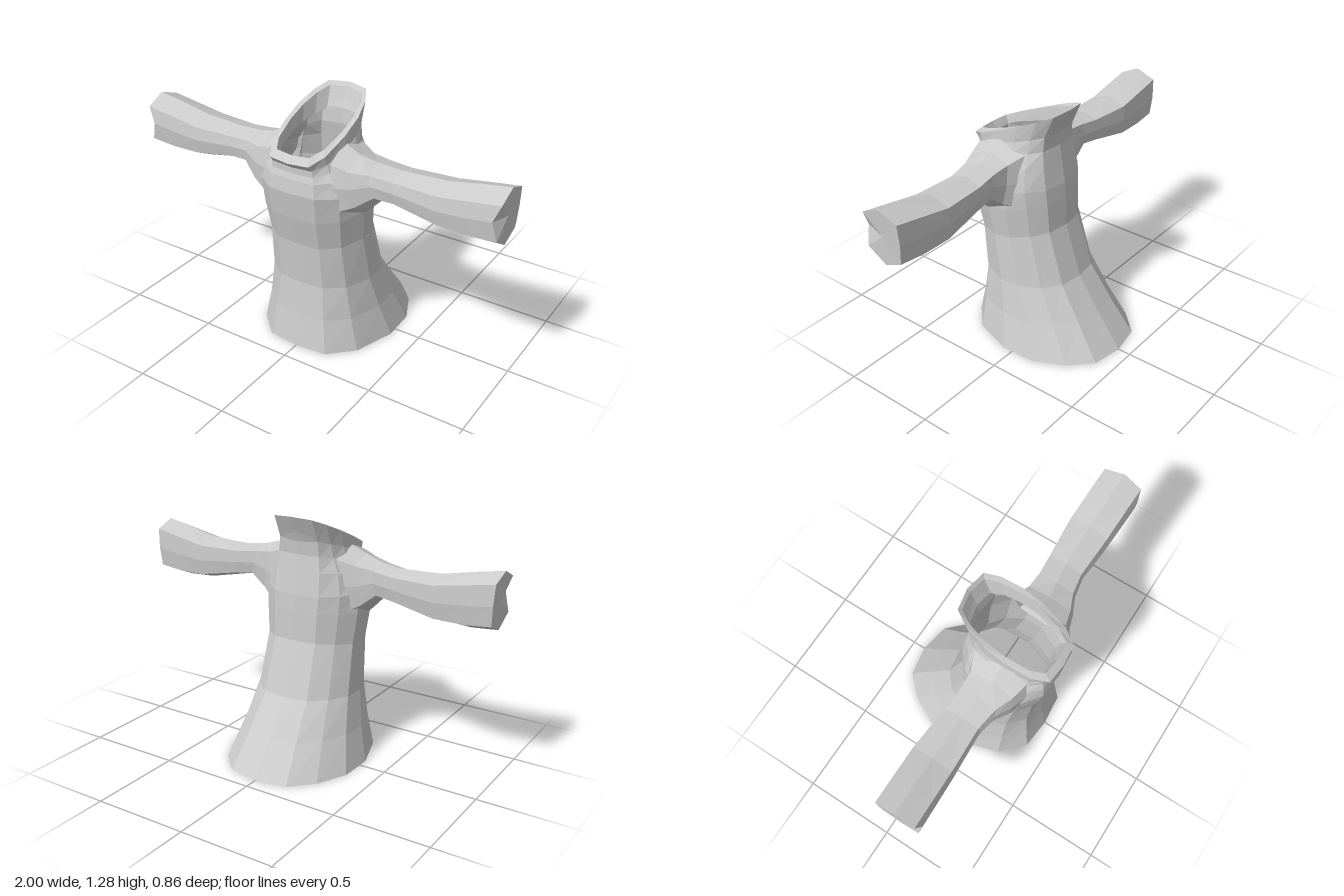
import * as THREE from 'three';

const material = new THREE.MeshStandardMaterial({
  color: 0xcccccc, flatShading: true, side: THREE.DoubleSide,
});

// Skin a list of closed rings (arrays of [x, y, z]); optionally cap the last ring.
function loft(rings, capEnd, flip) {
  const n = rings[0].length;
  const positions = rings.flat(2);
  const index = [];
  const tri = (a, b, c) => (flip ? index.push(a, c, b) : index.push(a, b, c));
  for (let r = 0; r < rings.length - 1; r++) {
    for (let i = 0; i < n; i++) {
      const a = r * n + i, b = r * n + (i + 1) % n;
      tri(a, b, b + n);
      tri(a, b + n, a + n);
    }
  }
  if (capEnd) {
    const last = rings[rings.length - 1];
    positions.push(...[0, 1, 2].map((k) => last.reduce((s, p) => s + p[k], 0) / n));
    const base = (rings.length - 1) * n;
    for (let i = 0; i < n; i++) tri(base + i, base + (i + 1) % n, rings.length * n);
  }
  const geometry = new THREE.BufferGeometry();
  geometry.setAttribute('position', new THREE.Float32BufferAttribute(positions, 3));
  geometry.setIndex(index);
  geometry.computeVertexNormals();
  return geometry;
}

// Half outline of the torso: [share of half width, 1 = front .. 0 = back]
const HALF = [[0, 1], [0.46, 0.98], [0.8, 0.84], [1, 0.58], [0.98, 0.36], [0.77, 0.17], [0.46, 0.035], [0, 0]];
const OUTLINE = [...HALF, ...HALF.slice(1, -1).reverse().map(([x, t]) => [-x, t])];

// One torso ring; front and back heights differ, lower power = squarer outline
function torsoRing([halfWidth, zFront, zBack, yFront, yBack, power = 1]) {
  return OUTLINE.map(([f, t]) => [
    Math.sign(f) * Math.abs(f) ** power * halfWidth,
    yBack + (yFront - yBack) * t,
    zBack + (zFront - zBack) * t,
  ]);
}

// Sleeve section: [0 = back .. 1 = front, 0 = bottom .. 1 = top]
const SECTION = [[0.5, 1], [0.95, 0.84], [1, 0.55], [0.95, 0.22], [0.5, 0], [0.05, 0.15], [0, 0.5], [0.02, 0.86]];

function sleeveRing([xTop, xBottom, yTop, yBottom, zFront, zBack], side) {
  return SECTION.map(([u, v]) => [
    side * (xBottom + (xTop - xBottom) * v),
    yBottom + (yTop - yBottom) * v,
    zBack + (zFront - zBack) * u,
  ]);
}

function addMesh(group, name, geometry) {
  const mesh = new THREE.Mesh(geometry, material);
  mesh.name = name;
  group.add(mesh);
}

export function createModel() {
  const group = new THREE.Group();
  group.name = 'tunic';

  // Flared body, open at the hem, rising to the base of the collar
  const collarBase = [0.175, 0.4, -0.045, 1.02, 1.16, 0.6];
  const body = [
    [0.36, 0.4, -0.43, 0, 0],
    [0.31, 0.37, -0.295, 0.18, 0.18],
    [0.275, 0.35, -0.17, 0.36, 0.36],
    [0.26, 0.365, -0.08, 0.59, 0.64],
    [0.275, 0.4, -0.075, 0.75, 0.8],
    [0.275, 0.42, -0.07, 0.89, 0.88, 0.95],
    [0.24, 0.41, -0.05, 0.96, 1.0, 0.85],
    [0.195, 0.4, -0.037, 0.99, 1.08, 0.7],
    collarBase,
  ];
  addMesh(group, 'body', loft(body.map(torsoRing)));

  // Slanted collar with a folded inner lip
  const collar = [
    collarBase,
    [0.172, 0.43, -0.1, 1.05, 1.28, 0.6],
    [0.145, 0.395, -0.085, 1.08, 1.26, 0.6],
    [0.138, 0.375, -0.045, 1.04, 1.15, 0.6],
  ];
  addMesh(group, 'collar', loft(collar.map(torsoRing)));

  // Mirrored sleeves, widening towards a closed, slightly notched cuff
  const sleeve = [
    [0.16, 0.24, 1.11, 0.74, 0.35, 0.04],
    [0.25, 0.3, 1.07, 0.79, 0.325, 0.075],
    [0.34, 0.38, 1.045, 0.87, 0.285, 0.08],
    [0.46, 0.47, 1.03, 0.86, 0.265, 0.07],
    [0.69, 0.7, 1.04, 0.81, 0.275, 0.05],
    [0.86, 0.85, 1.075, 0.8, 0.28, 0.055],
    [1, 0.985, 1.1, 0.81, 0.285, 0.06],
  ];
  for (const side of [1, -1]) {
    const rings = sleeve.map((s) => sleeveRing(s, side));
    rings[rings.length - 1][2][0] -= side * 0.03;
    addMesh(group, side > 0 ? 'leftSleeve' : 'rightSleeve', loft(rings, true, side > 0));
  }
  return group;
}
